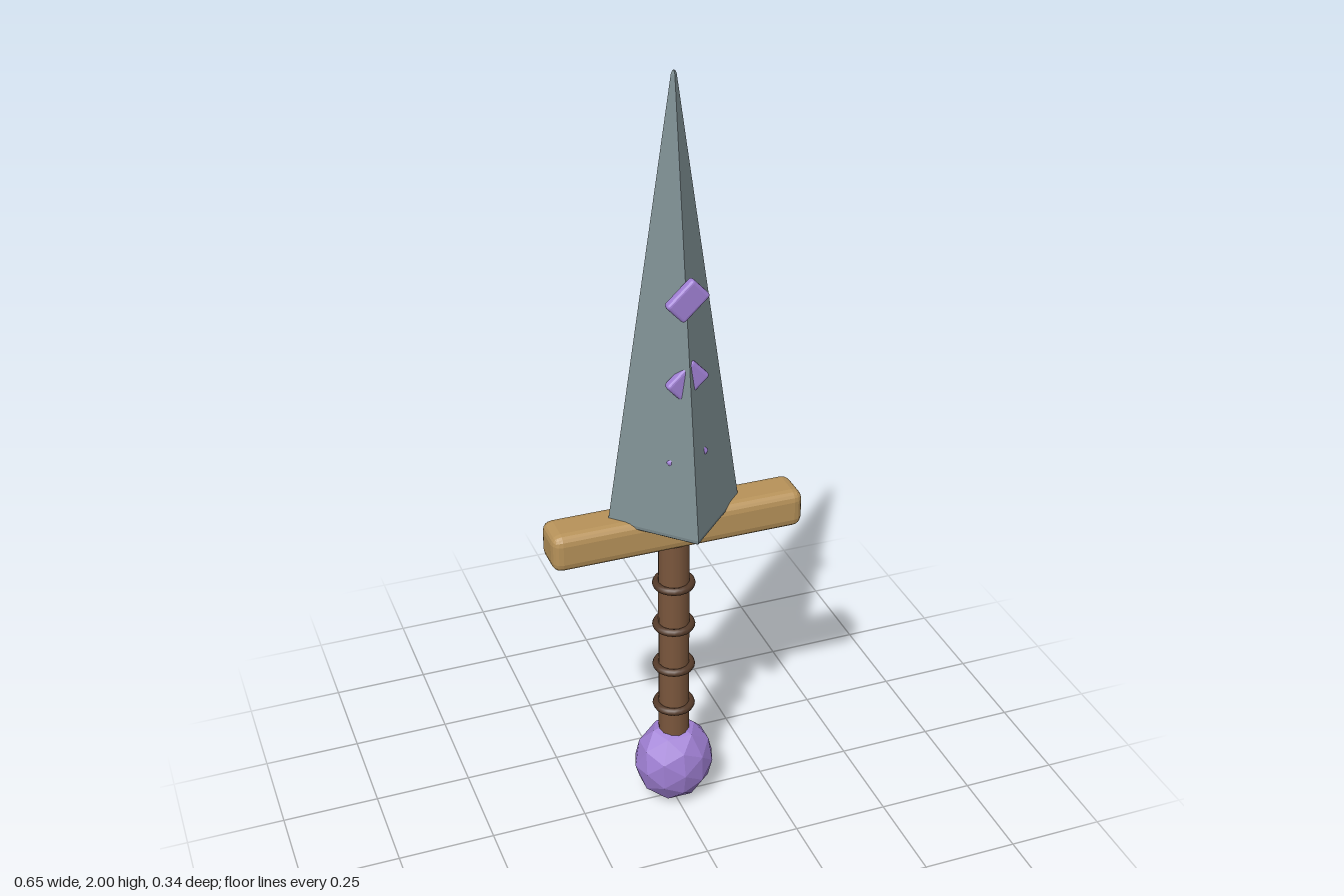
import * as THREE from 'three';
import { RoundedBoxGeometry } from 'three/addons/geometries/RoundedBoxGeometry.js';

const material = (color, flatShading = true) => new THREE.MeshStandardMaterial({ color, flatShading });

export function createModel() {
  const group = new THREE.Group();
  const steel = material(0x7f9094);
  const wood = material(0xb8935a);
  const leather = material(0x7b573d, false);
  const darkLeather = material(0x553b2a, false);
  const crystal = material(0xa080d4);

  const add = (name, geometry, mat, x = 0, y = 0, z = 0) => {
    const mesh = new THREE.Mesh(geometry, mat);
    mesh.name = name;
    mesh.position.set(x, y, z);
    group.add(mesh);
    return mesh;
  };

  // Four-sided tapering blade with a softened base and a blunt tip
  const profile = [[0, 0.882], [0.16, 0.882], [0.167, 0.886], [0.169, 0.895], [0.007, 1.99], [0.004, 1.998], [0, 2]]
    .map(([r, y]) => new THREE.Vector2(r, y));
  add('blade', new THREE.LatheGeometry(profile, 4), steel);

  // Bevelled crossguard
  add('crossguard', new RoundedBoxGeometry(0.65, 0.1, 0.11, 2, 0.025), wood, 0, 0.85, 0);

  // Grip with its wrapped rings
  add('grip', new THREE.CylinderGeometry(0.04, 0.04, 0.64, 12), leather, 0, 0.5, 0);
  for (let i = 0; i < 4; i++) {
    const ring = add('gripRing', new THREE.TorusGeometry(0.045, 0.01, 8, 20), darkLeather, 0, 0.303 + i * 0.124, 0);
    ring.rotation.x = Math.PI / 2;
  }

  // Faceted gem pommel, slightly flattened front to back
  const pommel = add('pommel', new THREE.IcosahedronGeometry(1, 1), crystal, 0, 0.12, 0);
  pommel.scale.set(0.107, 0.12, 0.09);

  // Tilted crystal chips set into the front ridge; the lower ones sink deeper into the blade
  for (const y of [1.49, 1.287, 1.087]) {
    const chip = add('crystalChip', new RoundedBoxGeometry(0.09, 0.064, 0.025, 2, 0.008), crystal, 0, y, 0.087);
    chip.rotation.z = 0.75;
  }

  return group;
}
